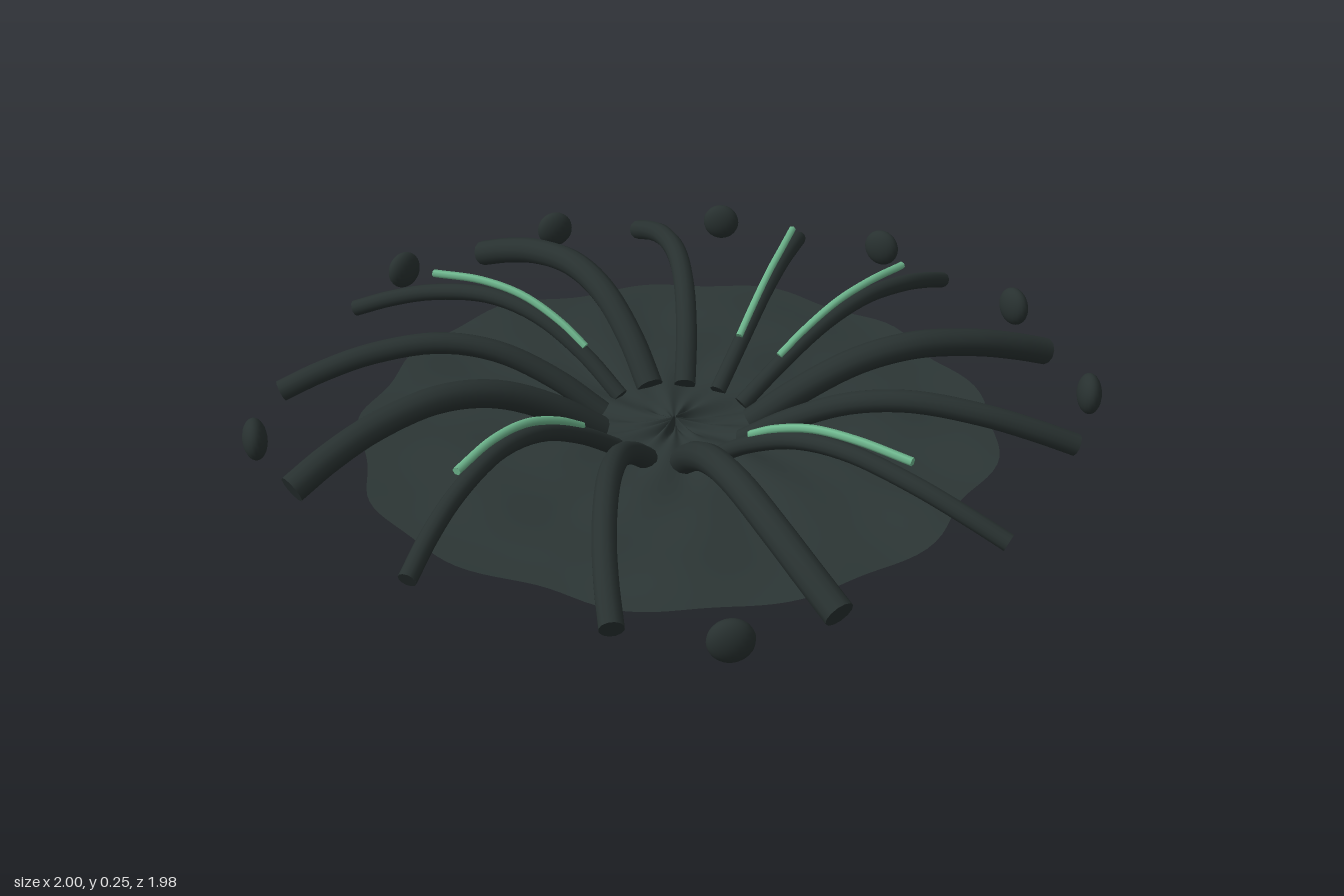
import * as THREE from 'three';
import { mergeGeometries } from 'three/addons/utils/BufferGeometryUtils.js';

const COUNT = 13;
const STEP = (Math.PI * 2) / COUNT;
const SWIRL = STEP / 2;
const CENTRE = [-0.033, 0, 0.027];
const R0 = 0.185, R1 = 0.957;

const mat = (name, color, side = THREE.FrontSide) => {
  const m = new THREE.MeshStandardMaterial({ color, side });
  m.name = name;
  return m;
};

// Point on a swirling spoke: the angle drifts steadily with the radius
function spokePoint(a, r, y) {
  const b = a - SWIRL * (r - R0) / (R1 - R0);
  return new THREE.Vector3(Math.cos(b) * r, y, Math.sin(b) * r);
}

function spokeCurve(a, profile) {
  return new THREE.CatmullRomCurve3(profile.map(([r, y]) => spokePoint(a, r, y)));
}

// Tube with flat ends
function cappedTube(curve, segments, radius, sides) {
  const parts = [new THREE.TubeGeometry(curve, segments, radius, sides)];
  for (const [t, sign] of [[0, -1], [1, 1]]) {
    const cap = new THREE.CircleGeometry(radius, sides);
    const dir = curve.getTangent(t).multiplyScalar(sign);
    cap.applyQuaternion(new THREE.Quaternion().setFromUnitVectors(new THREE.Vector3(0, 0, 1), dir));
    const p = curve.getPoint(t);
    cap.translate(p.x, p.y, p.z);
    parts.push(cap);
  }
  return mergeGeometries(parts);
}

// Thin wavy sheet with creases gathering at the middle
function sheetGeometry() {
  const rings = 36, sides = 156, pos = [], index = [];
  for (let i = 0; i <= rings; i++) {
    const t = i / rings;
    for (let j = 0; j < sides; j++) {
      const a = (j / sides) * Math.PI * 2;
      const edge = 0.766 + 0.012 * Math.cos(13 * (a + 0.24)) + 0.011 * Math.cos(5 * a + 1.2) + 0.008 * Math.sin(8 * a);
      const r = Math.max(t, 0.004) * edge;
      const gather = Math.exp(-r * 16);
      const ripple = 0.004 * Math.sin(7 * a + 5 * r) + 0.003 * Math.sin(13 * a - 9 * r)
        + 0.002 * Math.sin(r * 24 + 2 * a);
      const y = 0.025 + ripple + gather * (0.014 * Math.sin(11 * a) + 0.006 * Math.sin(17 * a + 1));
      pos.push(Math.cos(a) * r, Math.max(y, 0), Math.sin(a) * r);
      if (i < rings) {
        const k = (j + 1) % sides;
        const p = i * sides + j, q = i * sides + k;
        index.push(p, q, p + sides, q, q + sides, p + sides);
      }
    }
  }
  const g = new THREE.BufferGeometry();
  g.setAttribute('position', new THREE.Float32BufferAttribute(pos, 3));
  g.setIndex(index);
  g.computeVertexNormals();
  return g;
}

export function createModel() {
  const model = new THREE.Group();
  model.name = 'burstSplash';
  const sheetMat = mat('dark slate sheet', 0x2c3635, THREE.DoubleSide);
  const armMat = mat('dark slate arm', 0x283130);
  const glowMat = mat('pale green', 0x6fb88f);

  const body = new THREE.Group();
  body.name = 'body';
  body.position.set(...CENTRE);
  model.add(body);
  const add = (name, geometry, material) => {
    const mesh = new THREE.Mesh(geometry, material);
    mesh.name = name;
    body.add(mesh);
    return mesh;
  };

  // Sheet on the ground; triangles wound to face up
  const sheet = sheetGeometry();
  const ids = sheet.index.array;
  for (let i = 0; i < ids.length; i += 3) [ids[i + 1], ids[i + 2]] = [ids[i + 2], ids[i + 1]];
  sheet.computeVertexNormals();
  // Keep the winding whose normals point up
  if (sheet.attributes.normal.getY(3000) < 0) {
    for (let i = 0; i < ids.length; i += 3) [ids[i + 1], ids[i + 2]] = [ids[i + 2], ids[i + 1]];
    sheet.computeVertexNormals();
  }
  add('groundSheet', sheet, sheetMat);

  // Arching arms in three thicknesses
  const armProfile = [[R0, 0.03], [0.3, 0.112], [0.44, 0.182], [0.58, 0.206], [0.74, 0.185], [0.86, 0.148], [R1, 0.108]];
  const stripProfile = [[0.295, 0.135], [0.37, 0.182], [0.48, 0.228], [0.6, 0.245], [0.735, 0.24]];
  const thickness = [0.027, 0.021, 0.034];
  for (let k = 0; k < COUNT; k++) {
    const a = k * STEP;
    const radius = k === 0 ? 0.02 : thickness[k % 3];
    add('arm', cappedTube(spokeCurve(a, armProfile), 28, radius, 12), armMat);
    // Pale strip riding above the thin arms
    if (k === 0 || k % 3 === 1) {
      add('paleStrip', cappedTube(spokeCurve(a, stripProfile), 24, 0.01, 6), glowMat);
    }
  }

  // Flattened drops around the rim
  const drop = new THREE.SphereGeometry(1, 20, 14).scale(0.029, 0.05, 0.05);
  for (const k of [0, 1, 2, 5, 8, 10, 11, 12]) {
    const mesh = add('drop', drop, armMat);
    mesh.position.set(Math.cos(k * STEP), 0.115, Math.sin(k * STEP));
    mesh.rotation.y = -k * STEP;
  }
  return model;
}
